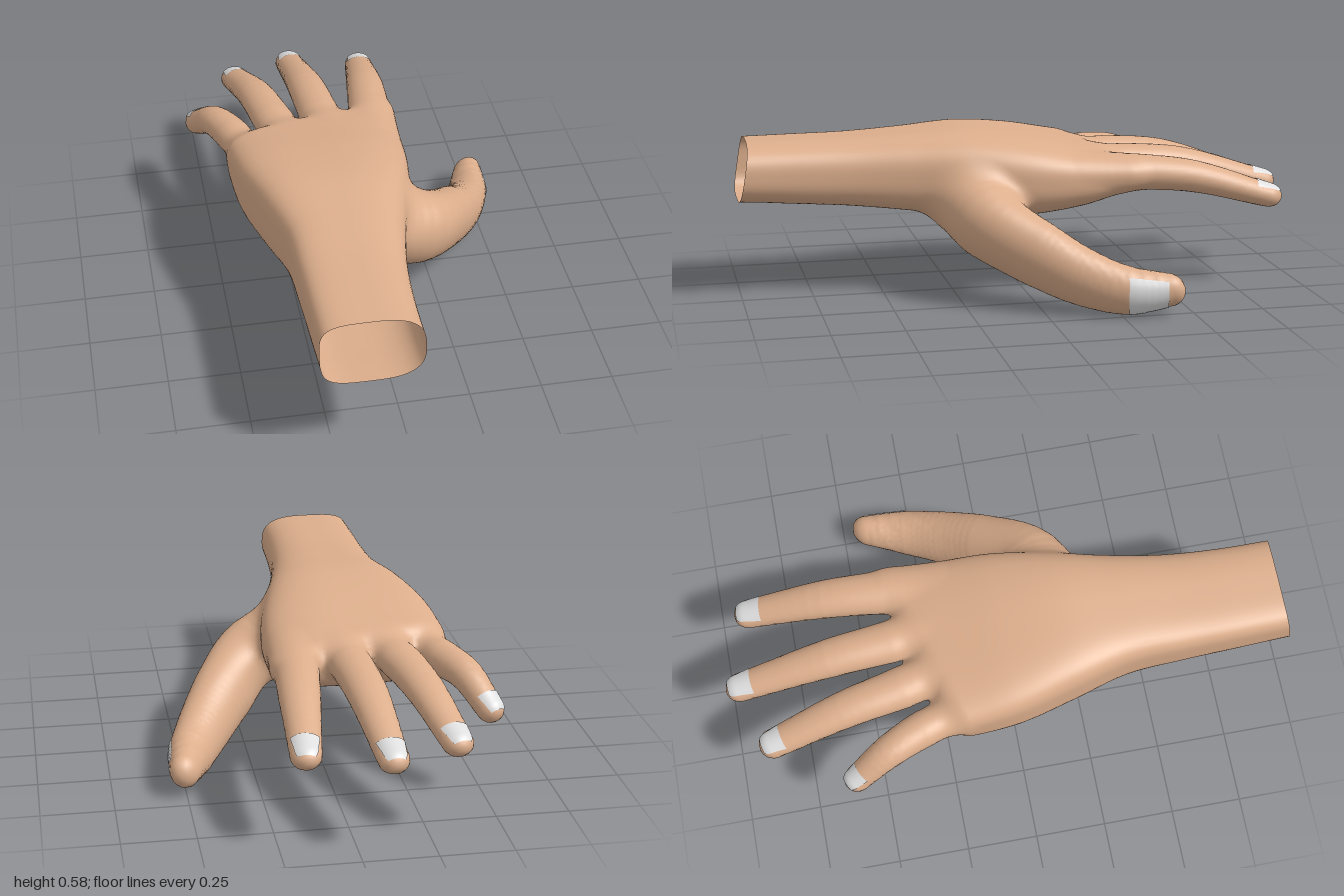
import * as THREE from 'three';

const skin = new THREE.MeshStandardMaterial({ color: 0xdcae8c, side: THREE.DoubleSide });
skin.name = 'skin';
const nailGrey = new THREE.MeshStandardMaterial({ color: 0xdedede, side: THREE.DoubleSide });
nailGrey.name = 'nailGrey';

// Forearm and palm sections [left, right, bottom, top], every 0.2 from z = 1 to z = -0.4
const SECTIONS = [
  [-0.30, 0.042, 0.345, 0.555], [-0.305, 0.045, 0.33, 0.557],
  [-0.31, 0.06, 0.315, 0.56], [-0.322, 0.095, 0.293, 0.572],
  [-0.375, 0.145, 0.268, 0.582], [-0.425, 0.185, 0.265, 0.563],
  [-0.443, 0.195, 0.293, 0.525], [-0.45, 0.19, 0.35, 0.487],
];

// Digits: path points [x, y, z, radius], back direction, flattening, blend,
// nail [start and end past the tip centre, width factor]
const UP = [0, 1, 0];
const DIGITS = [
  { name: 'indexFinger', back: UP, flat: 1.22, blend: 0.035, nail: [-0.057, 0.036, 0.76],
    path: [[0.10, 0.435, -0.2, 0.066], [0.118, 0.43, -0.4, 0.078], [0.138, 0.41, -0.6, 0.07], [0.163, 0.332, -0.88, 0.052]] },
  { name: 'middleFinger', back: UP, flat: 1.22, blend: 0.035, nail: [-0.055, 0.036, 0.76],
    path: [[-0.05, 0.44, -0.2, 0.068], [-0.071, 0.435, -0.4, 0.076], [-0.086, 0.417, -0.62, 0.07], [-0.105, 0.33, -0.948, 0.052]] },
  { name: 'ringFinger', back: UP, flat: 1.22, blend: 0.035, nail: [-0.045, 0.036, 0.76],
    path: [[-0.20, 0.44, -0.2, 0.068], [-0.245, 0.435, -0.39, 0.075], [-0.282, 0.415, -0.6, 0.067], [-0.332, 0.335, -0.86, 0.053]] },
  { name: 'littleFinger', back: UP, flat: 1.05, blend: 0.035, nail: [-0.04, 0.032, 0.76],
    path: [[-0.36, 0.42, -0.18, 0.058], [-0.402, 0.42, -0.34, 0.065], [-0.455, 0.405, -0.47, 0.058], [-0.508, 0.327, -0.593, 0.047]] },
  { name: 'thumb', back: [0.80, -0.35, 0.49], flat: 1.25, blend: 0.1, nail: [-0.135, 0.0, 0.9],
    path: [[0.05, 0.305, 0.20, 0.115], [0.20, 0.282, 0.165, 0.128], [0.32, 0.20, 0.01, 0.123], [0.40, 0.135, -0.12, 0.108],
      [0.465, 0.094, -0.26, 0.09], [0.503, 0.095, -0.408, 0.06]] },
];

// Turn each digit into a chain of rounded links, stretched along its back so that it comes out flattened
for (const d of DIGITS) {
  const points = d.path.map((p) => new THREE.Vector3(p[0], p[1], p[2]));
  const curve = new THREE.CatmullRomCurve3(points);
  const end = points.length - 1;
  d.tip = points[end];
  d.tipRadius = d.path[end][3];
  d.dir = curve.getTangent(1);
  const back = new THREE.Vector3(...d.back);
  const axis = points[end].clone().sub(points[0]).normalize();
  d.normal = back.clone().addScaledVector(axis, -back.dot(axis)).normalize();
  d.nailNormal = back.clone().addScaledVector(d.dir, -back.dot(d.dir)).normalize();
  const steps = end * 6;
  d.links = [];
  for (let i = 0; i <= steps; i++) {
    const t = (i / steps) * end, k = Math.min(Math.floor(t), end - 1);
    const p = curve.getPoint(i / steps);
    p.addScaledVector(d.normal, p.dot(d.normal) * (d.flat - 1));
    d.links.push([p.x, p.y, p.z, THREE.MathUtils.lerp(d.path[k][3], d.path[k + 1][3], t - k)]);
  }
}

function smoothMin(a, b, k) {
  const h = Math.max(k - Math.abs(a - b), 0) / k;
  return Math.min(a, b) - h * h * k / 4;
}

// Signed distance to a digit
function digitField(d, x, y, z) {
  const n = d.normal, s = (x * n.x + y * n.y + z * n.z) * (d.flat - 1);
  x += n.x * s; y += n.y * s; z += n.z * s;
  let best = Infinity;
  for (let i = 1; i < d.links.length; i++) {
    const a = d.links[i - 1], b = d.links[i];
    const ux = b[0] - a[0], uy = b[1] - a[1], uz = b[2] - a[2];
    let t = ((x - a[0]) * ux + (y - a[1]) * uy + (z - a[2]) * uz) / (ux * ux + uy * uy + uz * uz);
    t = Math.min(1, Math.max(0, t));
    const ex = x - a[0] - ux * t, ey = y - a[1] - uy * t, ez = z - a[2] - uz * t;
    best = Math.min(best, Math.sqrt(ex * ex + ey * ey + ez * ez) - a[3] - (b[3] - a[3]) * t);
  }
  return best;
}

// Signed distance to the forearm and palm: rounded sections, squarer on the
// little finger side, ended along the knuckle line
function palmField(x, y, z) {
  const last = SECTIONS.length - 1;
  const s = Math.min(last, Math.max(0, (1 - z) / 0.2)), i = Math.min(Math.floor(s), last - 1), t = s - i;
  const p0 = SECTIONS[Math.max(i - 1, 0)], p1 = SECTIONS[i], p2 = SECTIONS[i + 1], p3 = SECTIONS[Math.min(i + 2, last)];
  const at = (c) => p1[c] + 0.5 * t * (p2[c] - p0[c] + t * (2 * p0[c] - 5 * p1[c] + 4 * p2[c] - p3[c]
    + t * (3 * (p1[c] - p2[c]) + p3[c] - p0[c])));
  const l = at(0), r = at(1), b = at(2), top = at(3);
  const u = (2 * x - l - r) / (r - l), v = (2 * y - b - top) / (top - b), e = u < 0 ? 4 : 2.8;
  const g = Math.pow(Math.pow(Math.abs(u), e) + Math.pow(Math.abs(v), e), 1 / e);
  return -smoothMin(-(g - 1) * (top - b) / 2, z + 0.372 + 0.27 * x, 0.08);
}

// All parts melted together; also remembers which part is nearest
let nearest = 0;
function handField(x, y, z) {
  let f = palmField(x, y, z), low = f;
  nearest = 0;
  DIGITS.forEach((d, i) => {
    const g = digitField(d, x, y, z);
    if (g < low) { low = g; nearest = i + 1; }
    f = smoothMin(f, g, d.blend);
  });
  return f;
}

function slope(p) {
  const e = 0.002;
  return new THREE.Vector3(
    handField(p.x + e, p.y, p.z) - handField(p.x - e, p.y, p.z),
    handField(p.x, p.y + e, p.z) - handField(p.x, p.y - e, p.z),
    handField(p.x, p.y, p.z + e) - handField(p.x, p.y, p.z - e)).divideScalar(2 * e);
}

// Skin the field on a regular grid: one vertex per crossed cell, one quad per crossed edge
function skinMeshes() {
  const h = 0.016, origin = [-0.61, -0.05, -1.05], size = [77, 44, 133];
  const step = [1, size[0], size[0] * size[1]];
  const value = new Float32Array(size[0] * size[1] * size[2]);
  const cell = new Int32Array(value.length).fill(-1);
  const each = (trim, visit) => {
    for (let k = 0; k < size[2] - trim; k++) for (let j = 0; j < size[1] - trim; j++)
      for (let i = 0; i < size[0] - trim; i++) visit([i, j, k], i + j * step[1] + k * step[2]);
  };
  const place = (c) => new THREE.Vector3(origin[0] + c[0] * h, origin[1] + c[1] * h, origin[2] + c[2] * h);
  each(0, (c, id) => { const p = place(c); value[id] = handField(p.x, p.y, p.z); });

  const verts = [];
  each(1, (c, id) => {
    const sum = new THREE.Vector3();
    let count = 0;
    for (let n = 0; n < 8; n++) for (let a = 0; a < 3; a++) {
      if (n & (1 << a)) continue;
      const o = [n & 1, (n >> 1) & 1, (n >> 2) & 1];
      const q = id + o[0] + o[1] * step[1] + o[2] * step[2];
      const v0 = value[q], v1 = value[q + step[a]];
      if ((v0 < 0) === (v1 < 0)) continue;
      o[a] += v0 / (v0 - v1);
      sum.add(new THREE.Vector3(...o));
      count++;
    }
    if (!count) return;
    const p = place(c).addScaledVector(sum, h / count);
    for (let n = 0; n < 2; n++) {
      const g = slope(p);
      p.addScaledVector(g, -handField(p.x, p.y, p.z) / Math.max(g.lengthSq(), 0.1));
    }
    const normal = slope(p).normalize();
    handField(p.x, p.y, p.z);
    const part = nearest, rim = 1 - (p.y - 0.345) / 6; // slanted open end of the forearm
    const beyond = p.z >= rim;
    if (beyond) p.z = rim;
    cell[id] = verts.push({ p, normal, part, beyond }) - 1;
  });

  const parts = ['forearmAndPalm', ...DIGITS.map((d) => d.name)].map((name) => ({ name, map: new Map(), pos: [], nor: [], index: [] }));
  each(1, (c, id) => {
    for (let a = 0; a < 3; a++) {
      const b = (a + 1) % 3, d = (a + 2) % 3;
      const inside = value[id] < 0;
      if (!c[b] || !c[d] || inside === (value[id + step[a]] < 0)) continue;
      const quad = [id, id - step[b], id - step[b] - step[d], id - step[d]].map((q) => cell[q]);
      if (quad.some((q) => q < 0) || quad.every((q) => verts[q].beyond)) continue;
      if (!inside) quad.reverse();
      const part = parts[verts[quad[0]].part];
      const [q0, q1, q2, q3] = quad.map((q) => {
        if (!part.map.has(q)) {
          part.map.set(q, part.map.size);
          part.pos.push(...verts[q].p.toArray());
          part.nor.push(...verts[q].normal.toArray());
        }
        return part.map.get(q);
      });
      part.index.push(q0, q1, q2, q0, q2, q3);
    }
  });
  return parts.map((part) => {
    const geo = new THREE.BufferGeometry();
    geo.setAttribute('position', new THREE.Float32BufferAttribute(part.pos, 3));
    geo.setAttribute('normal', new THREE.Float32BufferAttribute(part.nor, 3));
    geo.setIndex(part.index);
    const mesh = new THREE.Mesh(geo, skin);
    mesh.name = part.name;
    return mesh;
  });
}

// A nail is a small sheet dropped onto the back of the fingertip
function nailMesh(d) {
  const geo = new THREE.PlaneGeometry(2, 1, 12, 12), pos = geo.attributes.position;
  const side = d.dir.clone().cross(d.nailNormal), r = d.tipRadius, [start, end, wide] = d.nail;
  for (let i = 0; i < pos.count; i++) {
    const v = THREE.MathUtils.lerp(start, end, pos.getY(i) + 0.5);
    const width = wide * (v > 0 ? Math.sqrt(r * r - v * v) : r - v * 0.2);
    const p = d.tip.clone().addScaledVector(d.dir, v).addScaledVector(side, pos.getX(i) * width)
      .addScaledVector(d.nailNormal, r * 1.3);
    for (let n = 0; n < 40; n++) p.addScaledVector(d.nailNormal, -0.6 * (handField(p.x, p.y, p.z) - 0.003));
    pos.setXYZ(i, p.x, p.y, p.z);
  }
  geo.computeVertexNormals();
  const mesh = new THREE.Mesh(geo, nailGrey);
  mesh.name = d.name + 'Nail';
  return mesh;
}

export function createModel() {
  const group = new THREE.Group();
  group.name = 'openHand';
  group.add(...skinMeshes(), ...DIGITS.map(nailMesh));
  return group;
}
